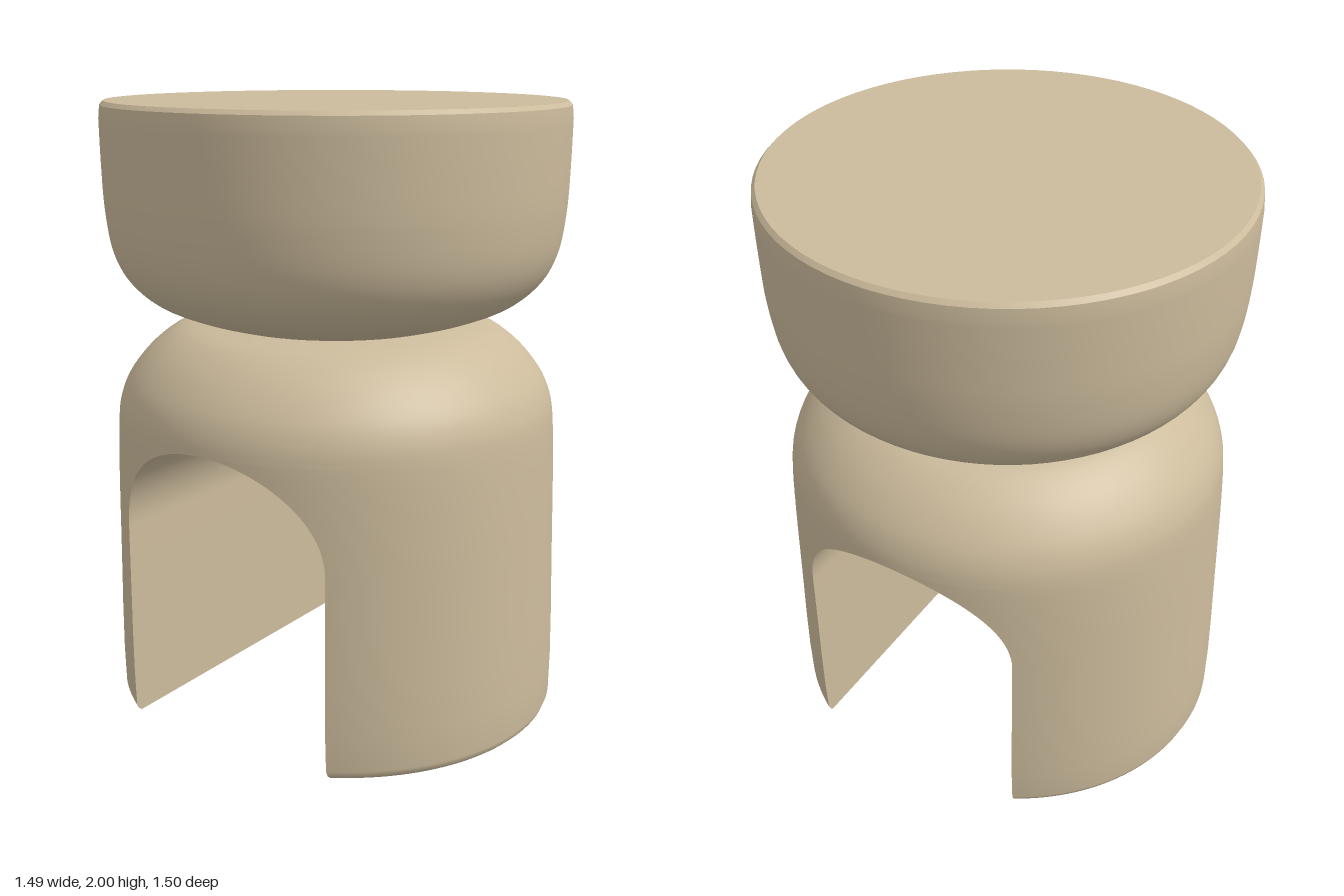
import * as THREE from 'three';
import { mergeGeometries, mergeVertices, toCreasedNormals } from 'three/addons/utils/BufferGeometryUtils.js';

const ARCH = { halfWidth: 0.385, spring: 0.66, rise: 0.33 };
const COLS = 48;

// Smooth curve through [radius, height] points
const smooth = (pts, n) =>
  new THREE.SplineCurve(pts.map(([r, y]) => new THREE.Vector2(r, y))).getPoints(n);

// Outer profile of the base
const profile = smooth([
  [0.75, 0.03], [0.75, 0.2], [0.74, 0.5], [0.73, 0.8], [0.72, 0.98], [0.705, 1.06],
  [0.67, 1.13], [0.6, 1.21], [0.51, 1.27], [0.4, 1.295],
], 120);

function radiusAt(y) {
  if (y < 0.03) return 0.732 + 0.018 * Math.sqrt(y / 0.03);
  const i = profile.findIndex((p) => p.y >= y);
  if (i < 0) return profile[profile.length - 1].x;
  if (i === 0) return profile[0].x;
  const a = profile[i - 1], b = profile[i];
  return a.x + (b.x - a.x) * (y - a.y) / (b.y - a.y);
}

// Surface from rows of points, f(i, t) with t running 0..1 along each row
function loft(rowCount, f) {
  const pos = [], index = [], w = COLS + 1;
  for (let i = 0; i < rowCount; i++) {
    for (let j = 0; j < w; j++) pos.push(...f(i, j / COLS));
  }
  for (let i = 0; i < rowCount - 1; i++) {
    for (let j = 0; j < COLS; j++) {
      const a = i * w + j, b = a + 1, c = a + w, d = c + 1;
      index.push(a, c, b, b, c, d);
    }
  }
  const g = new THREE.BufferGeometry();
  g.setAttribute('position', new THREE.Float32BufferAttribute(pos, 3));
  g.setIndex(index);
  return g;
}

// Repeat a half on the opposite side and weld the seam
function bothSides(half) {
  const g = mergeVertices(mergeGeometries([half, half.clone().rotateY(Math.PI)]), 1e-4);
  g.computeVertexNormals();
  return g.rotateY(0.06);
}

export function createModel() {
  const group = new THREE.Group();
  const material = new THREE.MeshStandardMaterial({ color: 0xccbb9c });
  const add = (name, geometry) => {
    const mesh = new THREE.Mesh(geometry, material);
    mesh.name = name;
    group.add(mesh);
  };

  // Seat: a thick drum with a rounded underside and a flat top
  const seatSide = smooth([
    [0.4, 1.295], [0.5, 1.325], [0.6, 1.37], [0.675, 1.44], [0.718, 1.53],
    [0.738, 1.66], [0.744, 1.8], [0.746, 1.94],
  ], 40);
  const seatProfile = [
    new THREE.Vector2(0, 1.29), ...seatSide,
    new THREE.Vector2(0.742, 1.98), new THREE.Vector2(0.73, 1.993), new THREE.Vector2(0, 2),
  ];
  add('seat', toCreasedNormals(new THREE.LatheGeometry(seatProfile, 80), 0.6));

  // Base rows: y is the height, h the half width of the arched tunnel there
  const rows = [0, 0.01, 0.03, 0.15, 0.3, 0.45, 0.55].map((y) => ({ y, h: ARCH.halfWidth }));
  for (let i = 0; i <= 24; i++) {
    const t = (i / 24) * Math.PI / 2;
    rows.push({
      y: ARCH.spring + ARCH.rise * Math.sin(t),
      h: i === 24 ? 0 : ARCH.halfWidth * Math.cos(t),
    });
  }
  const archRows = rows.length;
  for (let i = 1; i <= 24; i++) {
    rows.push({ y: 0.99 + 0.305 * Math.sin((i / 24) * Math.PI / 2), h: 0 });
  }

  // Point on the outer wall of the front half; the legs narrow slightly in x
  const wall = ({ y, h }, t) => {
    const r = radiusAt(y), a0 = Math.asin(h / r);
    const a = a0 + (Math.PI - 2 * a0) * t;
    const sx = 0.95 + 0.05 * Math.min(y, 1);
    return [r * Math.cos(a) * sx, y, r * Math.sin(a)];
  };
  // Point on the straight tunnel side of the front half
  const inner = (row, t) => {
    const x = wall(row, 0)[0];
    return [x * (2 * t - 1), row.y, row.h];
  };

  add('baseOuterWall', bothSides(loft(rows.length, (i, t) => wall(rows[i], t))));
  add('archTunnel', bothSides(loft(archRows, (i, t) => inner(rows[i], t))));

  // Flat undersides of the two legs
  add('legSoles', bothSides(loft(2, (i, t) =>
    (i === 0 ? inner(rows[0], 1 - t) : wall(rows[0], t)))));

  return group;
}
